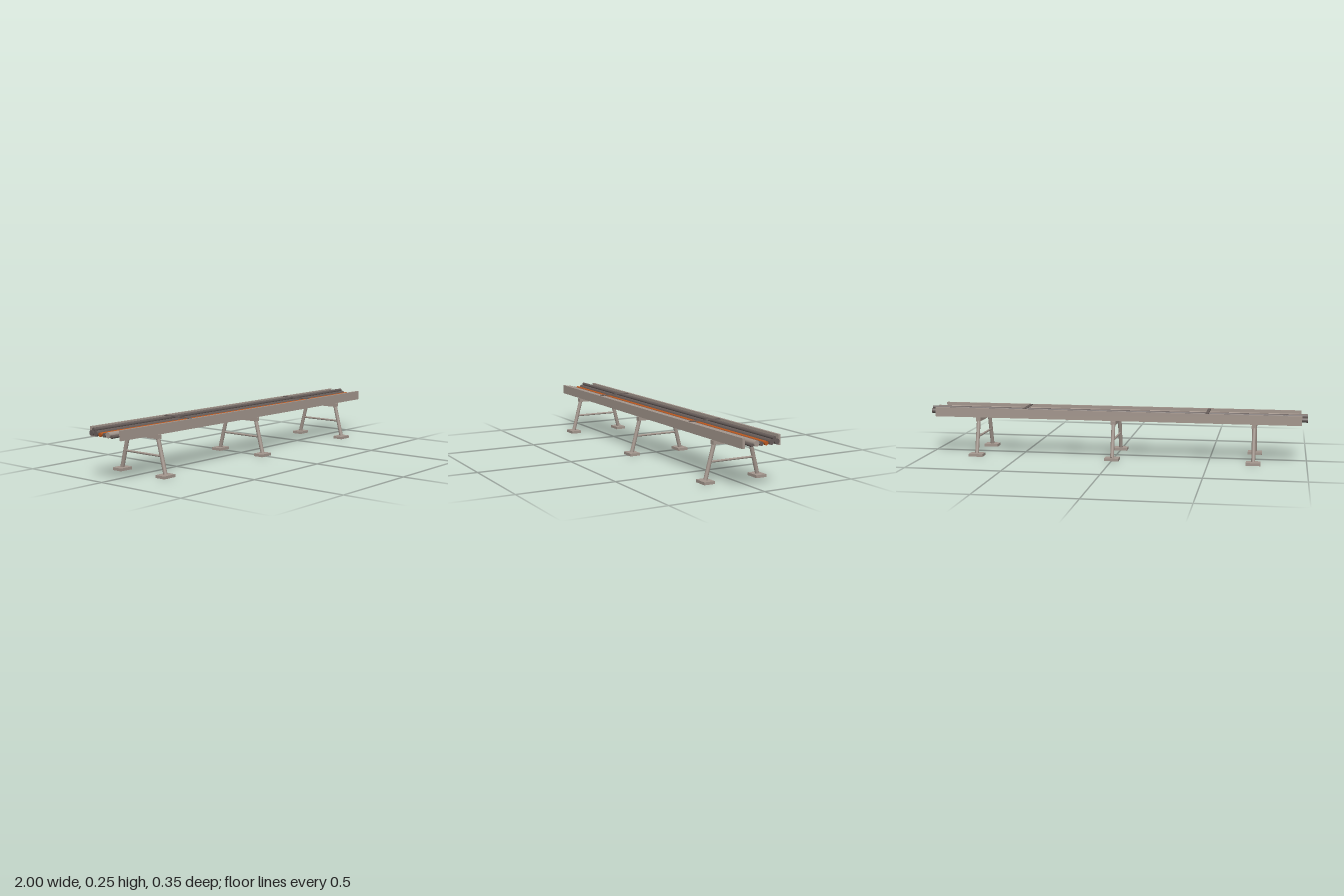
import * as THREE from 'three';

const mat = (name, color) => {
  const m = new THREE.MeshStandardMaterial({ color });
  m.name = name;
  return m;
};

export function createModel() {
  const root = new THREE.Group();
  root.name = 'pipeRack';
  const steel = mat('paintedSteel', 0xa3968d);
  const dark = mat('darkPipe', 0x655b58);
  const orange = mat('orangePipe', 0xb8571f);

  const add = (parent, name, geometry, material, x, y, z) => {
    const mesh = new THREE.Mesh(geometry, material);
    mesh.name = name;
    mesh.position.set(x, y, z);
    parent.add(mesh);
    return mesh;
  };
  const box = (parent, name, size, material, x, y, z) =>
    add(parent, name, new THREE.BoxGeometry(...size), material, x, y, z);

  // Round bar between two points
  const bar = (parent, name, a, b, radius, material, sides = 16) => {
    const from = new THREE.Vector3(...a), to = new THREE.Vector3(...b);
    const mid = from.clone().add(to).multiplyScalar(0.5);
    const mesh = add(parent, name, new THREE.CylinderGeometry(radius, radius, from.distanceTo(to), sides),
      material, mid.x, mid.y, mid.z);
    mesh.quaternion.setFromUnitVectors(new THREE.Vector3(0, 1, 0), to.sub(from).normalize());
    return mesh;
  };

  // Trestle supports
  for (const x of [-0.73, 0, 0.73]) {
    const trestle = new THREE.Group();
    trestle.name = 'trestle';
    trestle.position.x = x;
    root.add(trestle);
    for (const s of [-1, 1]) {
      box(trestle, 'footPlate', [0.075, 0.014, 0.057], steel, 0, 0.007, s * 0.1465);
      bar(trestle, 'leg', [0, 0.015, s * 0.1465], [0, 0.188, s * 0.1], 0.0102, steel);
    }
    bar(trestle, 'brace', [0, 0.099, -0.12], [0, 0.099, 0.12], 0.0055, steel, 12);
    box(trestle, 'crossBeam', [0.025, 0.02, 0.223], steel, 0, 0.19, 0);
  }

  // Side rails
  for (const s of [-1, 1]) box(root, 'sideRail', [1.94, 0.049, 0.012], steel, 0, 0.2245, s * 0.098);

  // Ladder rungs
  for (let i = 0; i < 14; i++) {
    box(root, 'rung', [0.015, 0.009, 0.186], steel, (i - 6.5) * 0.139, 0.2055, 0);
  }

  // Pipes: z, y, radius, material
  const pipes = [
    [0.073, 0.2195, 0.008, dark],
    [0.0485, 0.2255, 0.014, steel],
    [0.022, 0.222, 0.01, dark],
    [-0.005, 0.222, 0.01, orange],
    [-0.0335, 0.2245, 0.0135, dark],
    [-0.063, 0.2245, 0.013, dark],
    [-0.048, 0.2415, 0.009, dark],
  ];
  for (const [z, y, r, material] of pipes) bar(root, 'pipe', [-1, y, z], [1, y, z], r, material, 24);

  // Hold-down straps
  for (const s of [-1, 1]) box(root, 'strap', [0.016, 0.004, 0.174], dark, s * 0.487, 0.248, 0);

  return root;
}
